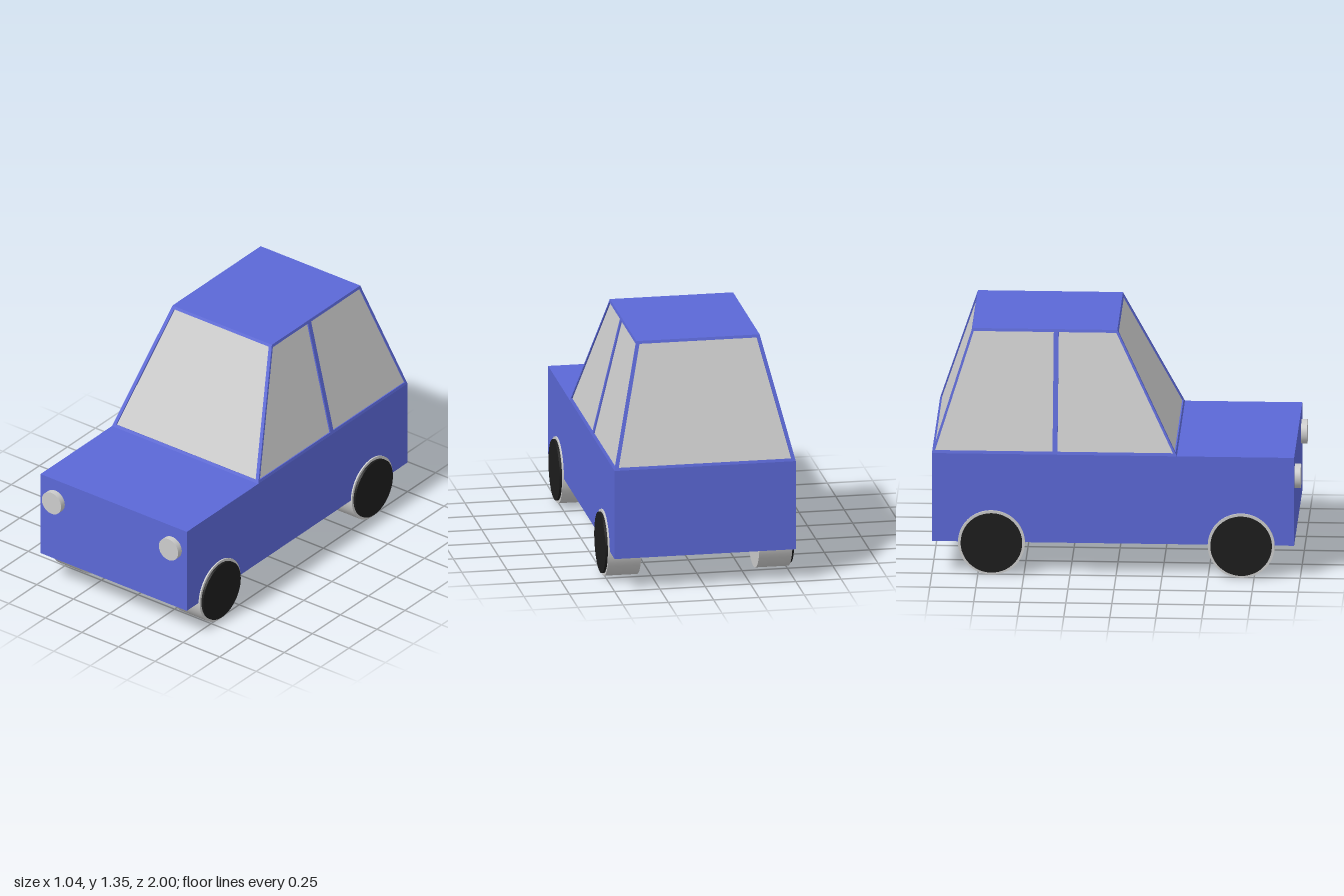
import * as THREE from 'three';

const paint = new THREE.MeshStandardMaterial({ color: 0x5b68d6 });
const grey = new THREE.MeshStandardMaterial({ color: 0xcccccc });
const black = new THREE.MeshStandardMaterial({ color: 0x1c1c1c });

function add(parent, name, geometry, material, x = 0, y = 0, z = 0) {
  const mesh = new THREE.Mesh(geometry, material);
  mesh.name = name;
  mesh.position.set(x, y, z);
  parent.add(mesh);
  return mesh;
}

const polygon = (points) => new THREE.Shape(points.map(([x, y]) => new THREE.Vector2(x, y)));

// One cabin wall: a painted frame with openings and a glass pane set behind them.
// Corners run bottom left, bottom right, top right, top left as seen from outside.
function cabinWall(name, corners, margin, post) {
  const [a, b, , d] = corners;
  const u = b.clone().sub(a).normalize();
  const n = u.clone().cross(d.clone().sub(a)).normalize();
  const v = n.clone().cross(u);
  const flat = corners.map((p) => {
    const q = p.clone().sub(a);
    return [q.dot(u), q.dot(v)];
  });
  const height = flat[3][1];
  const lo = 0.016, hi = height - 0.016;
  const left = (y) => (flat[3][0] * y) / height + margin;
  const right = (y) => flat[1][0] + ((flat[2][0] - flat[1][0]) * y) / height - margin;

  const frame = polygon(flat);
  const openings = post
    ? [[left(lo), post[0], post[0], left(hi)], [post[1], right(lo), right(hi), post[1]]]
    : [[left(lo), right(lo), right(hi), left(hi)]];
  for (const [x0, x1, x2, x3] of openings) {
    frame.holes.push(polygon([[x0, lo], [x1, lo], [x2, hi], [x3, hi]]));
  }

  const wall = new THREE.Group();
  wall.name = name;
  wall.applyMatrix4(new THREE.Matrix4().makeBasis(u, v, n).setPosition(a));
  const depth = 0.012;
  add(wall, 'windowFrame', new THREE.ExtrudeGeometry(frame, { depth, bevelEnabled: false }), paint, 0, 0, -depth);
  add(wall, 'windowGlass', new THREE.ShapeGeometry(polygon(flat)), grey, 0, 0, -0.008);
  return wall;
}

export function createModel() {
  const car = new THREE.Group();
  car.name = 'car';

  // Lower body
  add(car, 'body', new THREE.BoxGeometry(1, 0.5, 1.967), paint, 0, 0.436, -0.0165);

  // Tapered cabin
  const P = (x, y, z) => new THREE.Vector3(x, y, z);
  const y0 = 0.686, y1 = 1.35, w0 = 0.5, w1 = 0.34;
  const f0 = 0.33, f1 = 0, r0 = -1, r1 = -0.787;
  car.add(
    cabinWall('windscreen', [P(-w0, y0, f0), P(w0, y0, f0), P(w1, y1, f1), P(-w1, y1, f1)], 0.02),
    cabinWall('rearWindow', [P(w0, y0, r0), P(-w0, y0, r0), P(-w1, y1, r1), P(w1, y1, r1)], 0.02),
    cabinWall('leftWindows', [P(w0, y0, f0), P(w0, y0, r0), P(w1, y1, r1), P(w1, y1, f1)], 0.01, [0.648, 0.675]),
    cabinWall('rightWindows', [P(-w0, y0, r0), P(-w0, y0, f0), P(-w1, y1, f1), P(-w1, y1, r1)], 0.01, [0.655, 0.682]),
  );
  add(car, 'roof', new THREE.BoxGeometry(w1 * 2, 0.012, f1 - r1), paint, 0, y1 - 0.006, (f1 + r1) / 2);

  // Wheels and headlights, mirrored left and right
  const tyre = new THREE.CylinderGeometry(0.182, 0.182, 0.182, 48).rotateZ(Math.PI / 2);
  const cap = new THREE.CylinderGeometry(0.167, 0.167, 0.014, 48).rotateZ(Math.PI / 2);
  const lamp = new THREE.CylinderGeometry(0.066, 0.066, 0.04, 40).rotateX(Math.PI / 2);
  for (const [side, s] of [['left', 1], ['right', -1]]) {
    for (const [end, z] of [['Front', 0.68], ['Rear', -0.676]]) {
      const wheel = new THREE.Group();
      wheel.name = `${side}${end}Wheel`;
      wheel.position.set(0, 0.184, z);
      add(wheel, 'wheelRim', tyre, grey, s * 0.417);
      add(wheel, 'wheelCap', cap, black, s * 0.514);
      car.add(wheel);
    }
    add(car, `${side}Headlight`, lamp, grey, s * 0.4, 0.553, 0.98);
  }
  return car;
}
